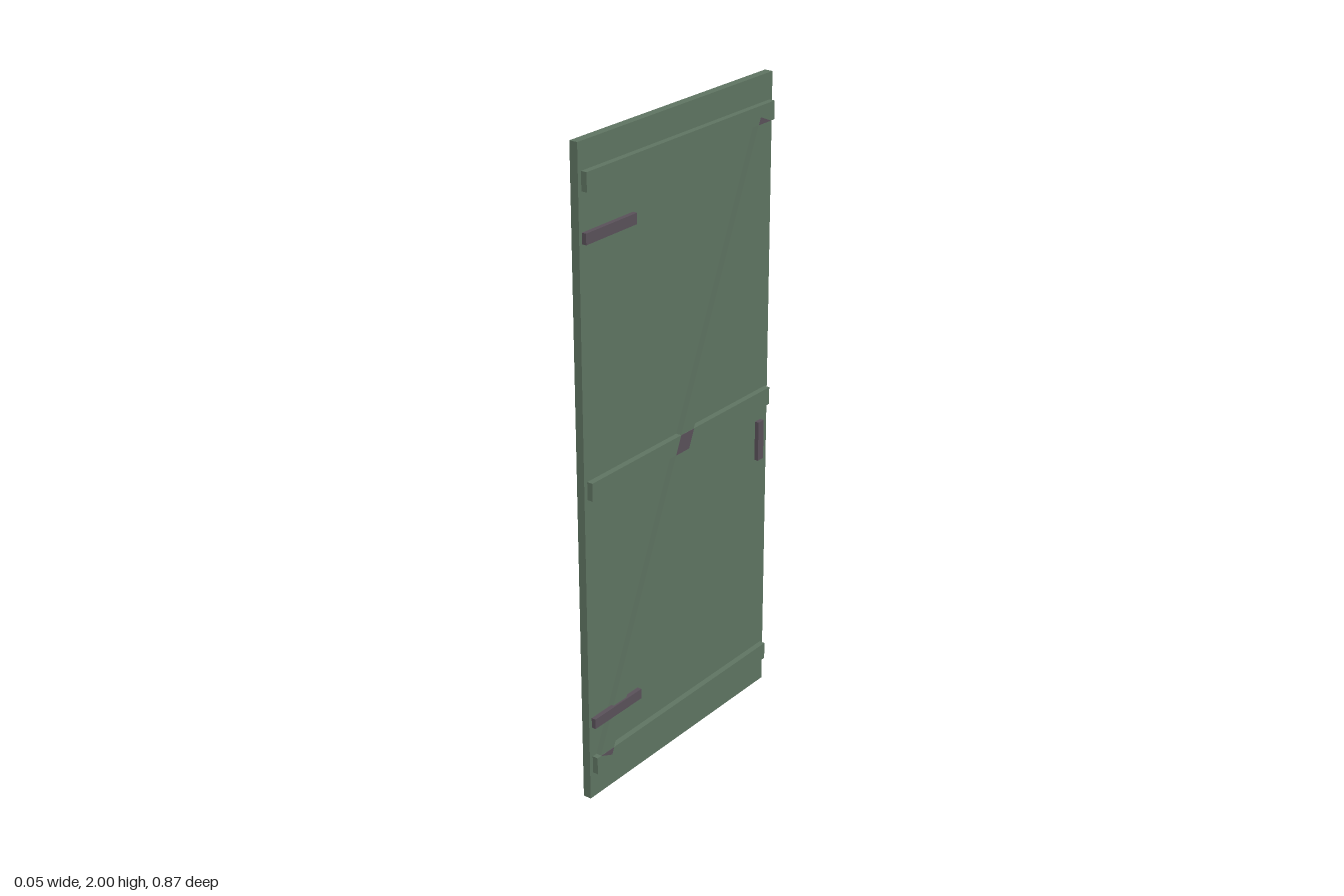
import * as THREE from 'three';

export function createModel() {
  const door = new THREE.Group();
  door.name = 'plankDoor';

  const green = new THREE.MeshStandardMaterial({ color: 0x5f7562 });
  green.name = 'green paint';
  const iron = new THREE.MeshStandardMaterial({ color: 0x5a515a });
  iron.name = 'dark iron';

  const add = (name, geometry, material) => {
    const mesh = new THREE.Mesh(geometry, material);
    mesh.name = name;
    door.add(mesh);
    return mesh;
  };

  // Box given by its limits on each axis
  const block = (name, material, [x0, x1], [y0, y1], [z0, z1]) =>
    add(name, new THREE.BoxGeometry(x1 - x0, y1 - y0, z1 - z0), material)
      .position.set((x0 + x1) / 2, (y0 + y1) / 2, (z0 + z1) / 2);

  // Thin plate lying on the battens, outlined by (z, y) points
  const plate = (name, points) => {
    const shape = new THREE.Shape(points.map(([z, y]) => new THREE.Vector2(z, y)));
    const geometry = new THREE.ExtrudeGeometry(shape, { depth: 0.001, bevelEnabled: false });
    geometry.rotateY(-Math.PI / 2).translate(0.0193, 0, 0);
    add(name, geometry, iron);
  };

  // Door leaf
  block('panel', green, [-0.026, 0], [0, 2], [-0.433, 0.433]);

  // Horizontal battens
  const midY = 1.0025;
  for (const [name, y] of [['lowerBatten', 0.1125], ['middleBatten', midY], ['upperBatten', 1.8925]]) {
    block(name, green, [0, 0.0185], [y - 0.0275, y + 0.0275], [-0.42, 0.42]);
  }

  // Diagonal brace
  const dy = 1.745, dz = -0.756;
  const brace = add('brace', new THREE.BoxGeometry(0.018, Math.hypot(dy, dz), 0.055), green);
  brace.position.set(0.009, midY, 0);
  brace.rotation.x = Math.atan2(dz, dy);

  // Dark patches where the brace crosses the battens
  plate('middlePatch', [[-0.018, 0.975], [-0.042, 1.03], [0.018, 1.03], [0.042, 0.975]]);
  const tip = [[-0.403, 1.865], [-0.344, 1.865], [-0.353, 1.886]];
  plate('upperPatch', tip);
  plate('lowerPatch', tip.map(([z, y]) => [-z, 2 * midY - y]));

  // Strap hinges
  for (const [name, y] of [['lowerHinge', 0.265], ['upperHinge', 1.742]]) {
    block(name, iron, [0.01, 0.024], [y - 0.016, y + 0.016], [0.22, 0.433]);
  }

  // Pull handle
  block('handle', iron, [0.013, 0.026], [0.81, 0.937], [-0.383, -0.356]);

  return door;
}
